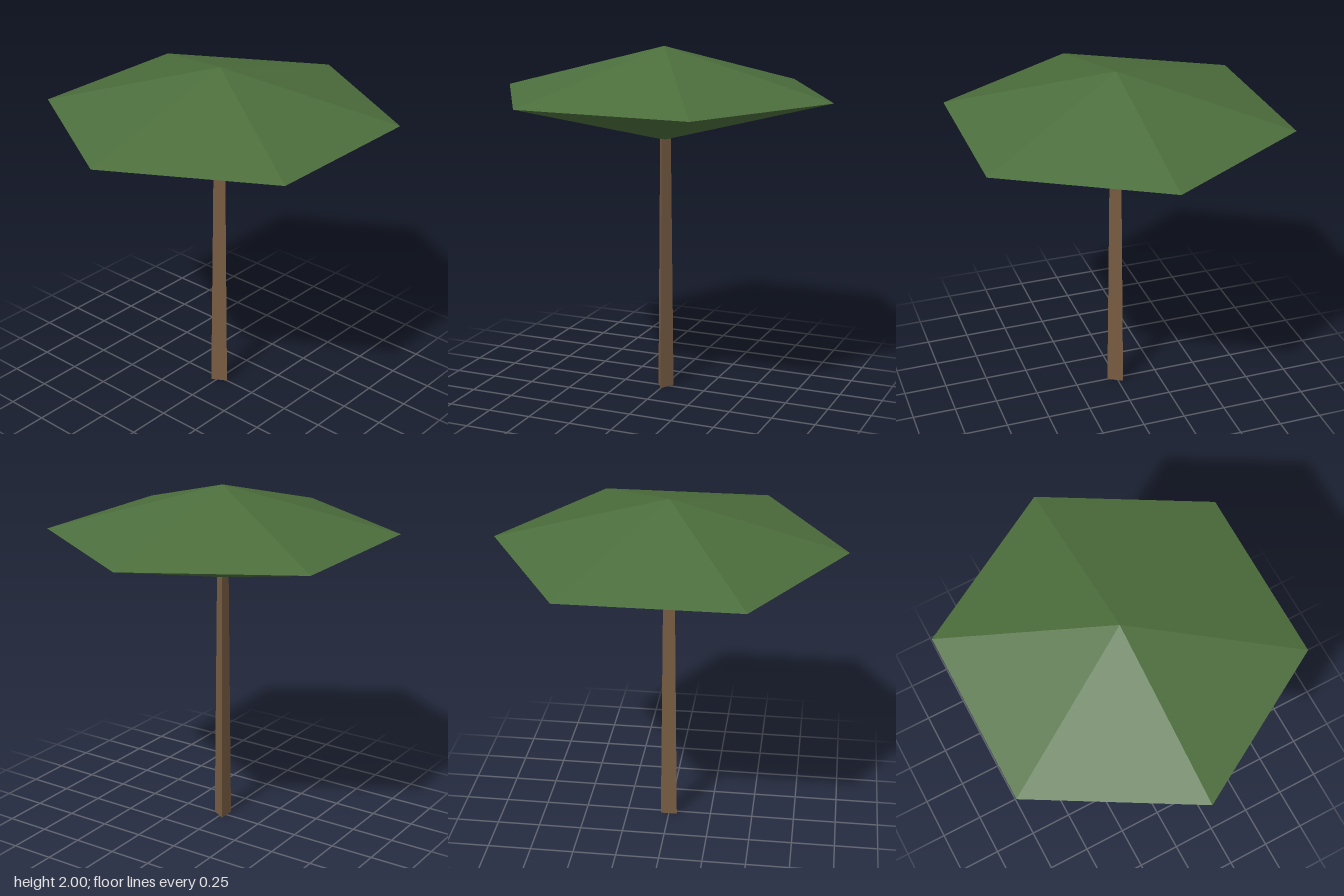
import * as THREE from 'three';

export function createModel() {
  const model = new THREE.Group();
  model.name = 'tree';

  const leafGreen = new THREE.MeshStandardMaterial({ color: 0x4c6e3c, flatShading: true });
  leafGreen.name = 'leafGreen';
  const barkBrown = new THREE.MeshStandardMaterial({ color: 0x785c42, flatShading: true, side: THREE.DoubleSide });
  barkBrown.name = 'barkBrown';

  // Trunk: tapered three-sided tube, open at the foot, one edge facing front
  const trunkHeight = 1.48;
  const trunk = new THREE.Mesh(
    new THREE.CylinderGeometry(0.038, 0.056, trunkHeight, 3, 1, true), barkBrown);
  trunk.name = 'trunk';
  trunk.position.y = trunkHeight / 2;
  model.add(trunk);

  // Canopy: two flat six-sided cones joined at the rim, corners on the x axis
  const radius = 0.985, rise = 0.265, rimY = 2 - rise;
  const canopy = new THREE.Group();
  canopy.name = 'canopy';
  canopy.position.y = rimY;
  for (const side of [1, -1]) {
    const half = new THREE.Mesh(
      new THREE.ConeGeometry(radius, rise, 6, 1, true, Math.PI / 2), leafGreen);
    half.name = side > 0 ? 'canopyTop' : 'canopyUnderside';
    half.position.y = side * rise / 2;
    if (side < 0) half.rotation.x = Math.PI;
    canopy.add(half);
  }
  model.add(canopy);

  return model;
}
